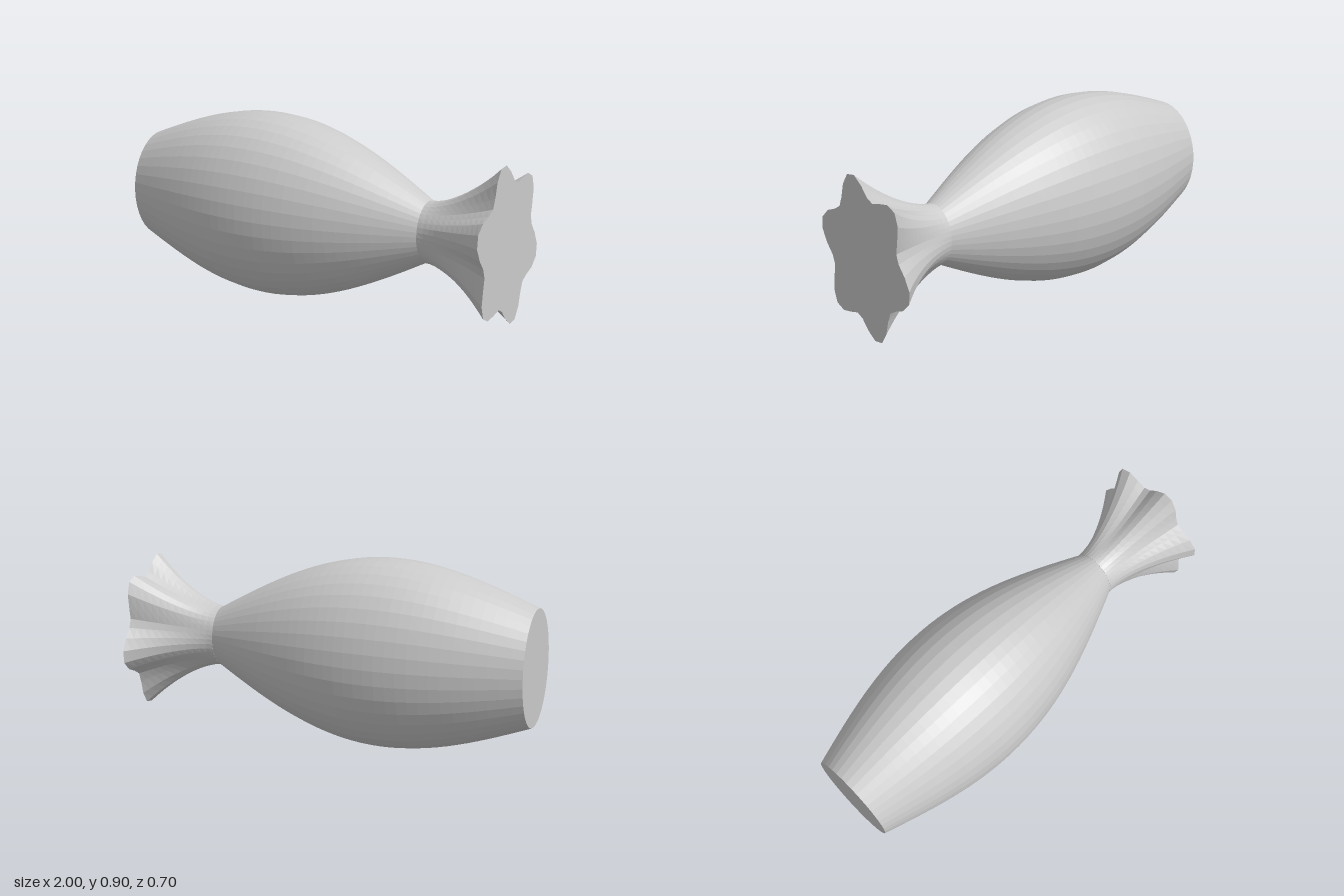
import * as THREE from 'three';

const SIDES = 40;
const CENTRE_Y = 0.45;
const FLATTEN = 0.78; // depth relative to height

// Closed oval loft along x; radius(t, angle) gives the half-height, angle running from +y to +z
function loft(name, x0, x1, rings, radius, material) {
  const geometry = new THREE.CylinderGeometry(1, 1, 1, SIDES, rings);
  const p = geometry.attributes.position;
  for (let i = 0; i < p.count; i++) {
    const t = p.getY(i) + 0.5;
    const a = Math.atan2(p.getX(i), p.getZ(i));
    const r = Math.hypot(p.getX(i), p.getZ(i)) * radius(t, a);
    p.setXYZ(i, x0 + (x1 - x0) * t, CENTRE_Y + r * Math.cos(a), FLATTEN * r * Math.sin(a));
  }
  geometry.computeVertexNormals();
  const mesh = new THREE.Mesh(geometry, material);
  mesh.name = name;
  return mesh;
}

export function createModel() {
  const group = new THREE.Group();
  group.name = 'twistedWrapper';
  const material = new THREE.MeshStandardMaterial({ color: 0xcccccc, flatShading: true });

  // Bulging body: straight taper plus a half sine wave
  const bodyRadius = (t) => 0.275 - 0.13 * t + 0.238 * Math.sin(Math.PI * t);
  group.add(loft('body', -1, 0.6, 32, bodyRadius, material));

  // Flared tail with six pleats that deepen towards the open end
  const tailRadius = (t, a) =>
    (0.146 + 0.192 * Math.pow(t, 1.6)) * (1 + 0.15 * t * Math.sin(6 * a));
  group.add(loft('pleatedTail', 0.6, 1, 12, tailRadius, material));

  return group;
}
